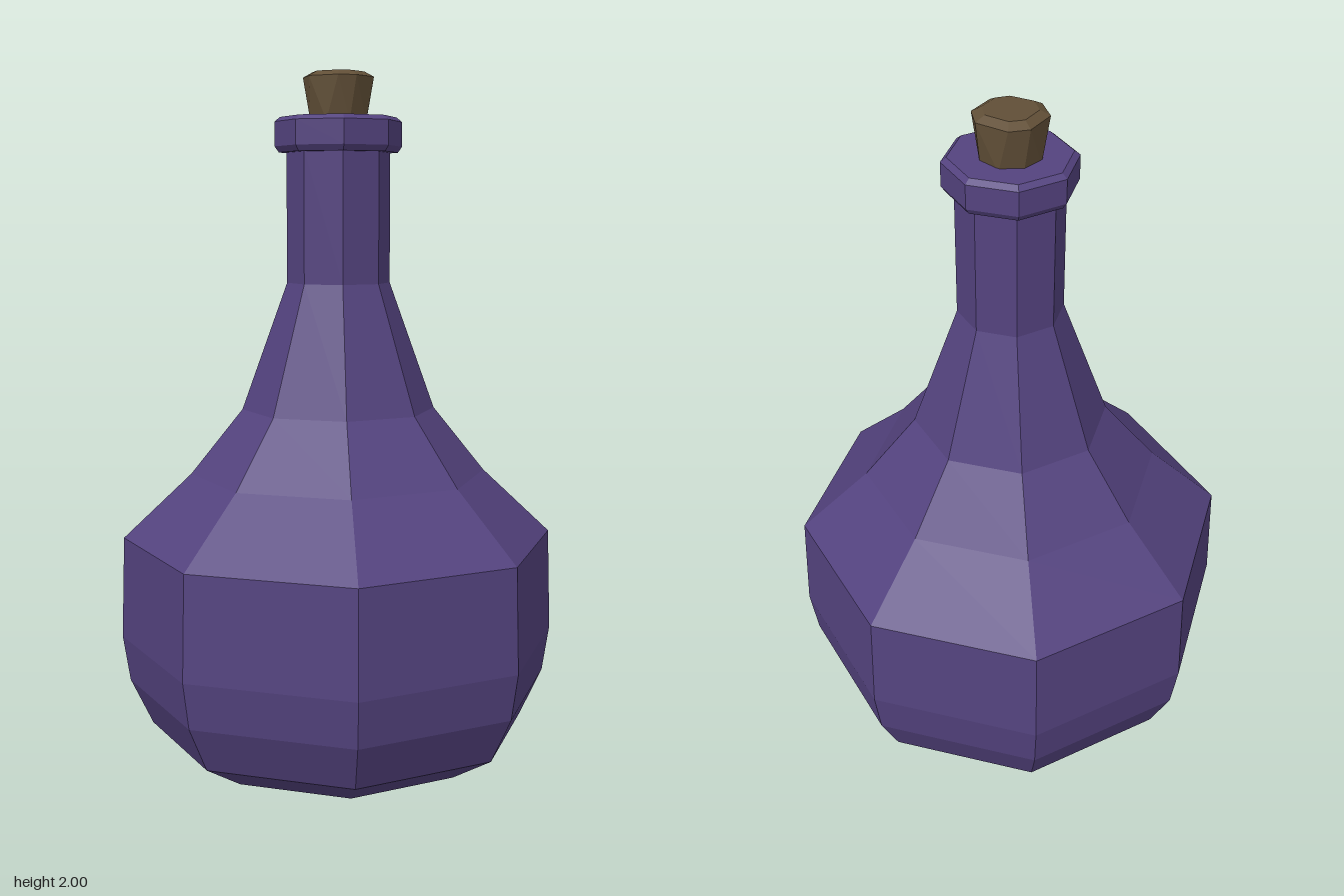
import * as THREE from 'three';

const SIDES = 8;

// Eight-sided turned shape from [radius, height] pairs, bottom to top
function turned(name, profile, material) {
  const points = profile.map(([r, y]) => new THREE.Vector2(r, y));
  const mesh = new THREE.Mesh(new THREE.LatheGeometry(points, SIDES), material);
  mesh.name = name;
  return mesh;
}

export function createModel() {
  const glass = new THREE.MeshStandardMaterial({ color: 0x54437f, flatShading: true });
  glass.name = 'purple glass';
  const corkBrown = new THREE.MeshStandardMaterial({ color: 0x614f37, flatShading: true });
  corkBrown.name = 'cork brown';

  const bottle = new THREE.Group();
  bottle.name = 'bottle';

  // Rounded belly, sloping shoulder and straight neck
  bottle.add(turned('bottleBody', [
    [0, 0], [0.43, 0], [0.56, 0.08], [0.625, 0.215], [0.646, 0.35], [0.636, 0.65],
    [0.435, 0.84], [0.283, 1.03], [0.15, 1.4], [0.15, 1.78],
  ], glass));

  // Bevelled lip closing the neck
  bottle.add(turned('lip', [
    [0.145, 1.773], [0.172, 1.773], [0.184, 1.79], [0.184, 1.86], [0.168, 1.873], [0, 1.873],
  ], glass));

  // Tapered cork, roughly cut: the rim corners are turned unevenly against the foot
  const cork = turned('cork', [
    [0.086, 1.86], [0.103, 1.985], [0.075, 2], [0, 2],
  ], corkBrown);
  const rimTurn = [-14, -5, -20, -16, -22, -10, -22, -12];
  const footTurn = -28;
  const position = cork.geometry.attributes.position;
  const rows = position.count / (SIDES + 1);
  for (let i = 0; i < position.count; i++) {
    const side = Math.floor(i / rows) % SIDES;
    const degrees = i % rows === 0 ? footTurn : rimTurn[side];
    const angle = THREE.MathUtils.degToRad((side * 360) / SIDES + degrees);
    const radius = Math.hypot(position.getX(i), position.getZ(i));
    position.setX(i, radius * Math.sin(angle));
    position.setZ(i, radius * Math.cos(angle));
  }
  cork.geometry.computeVertexNormals();
  bottle.add(cork);

  return bottle;
}
